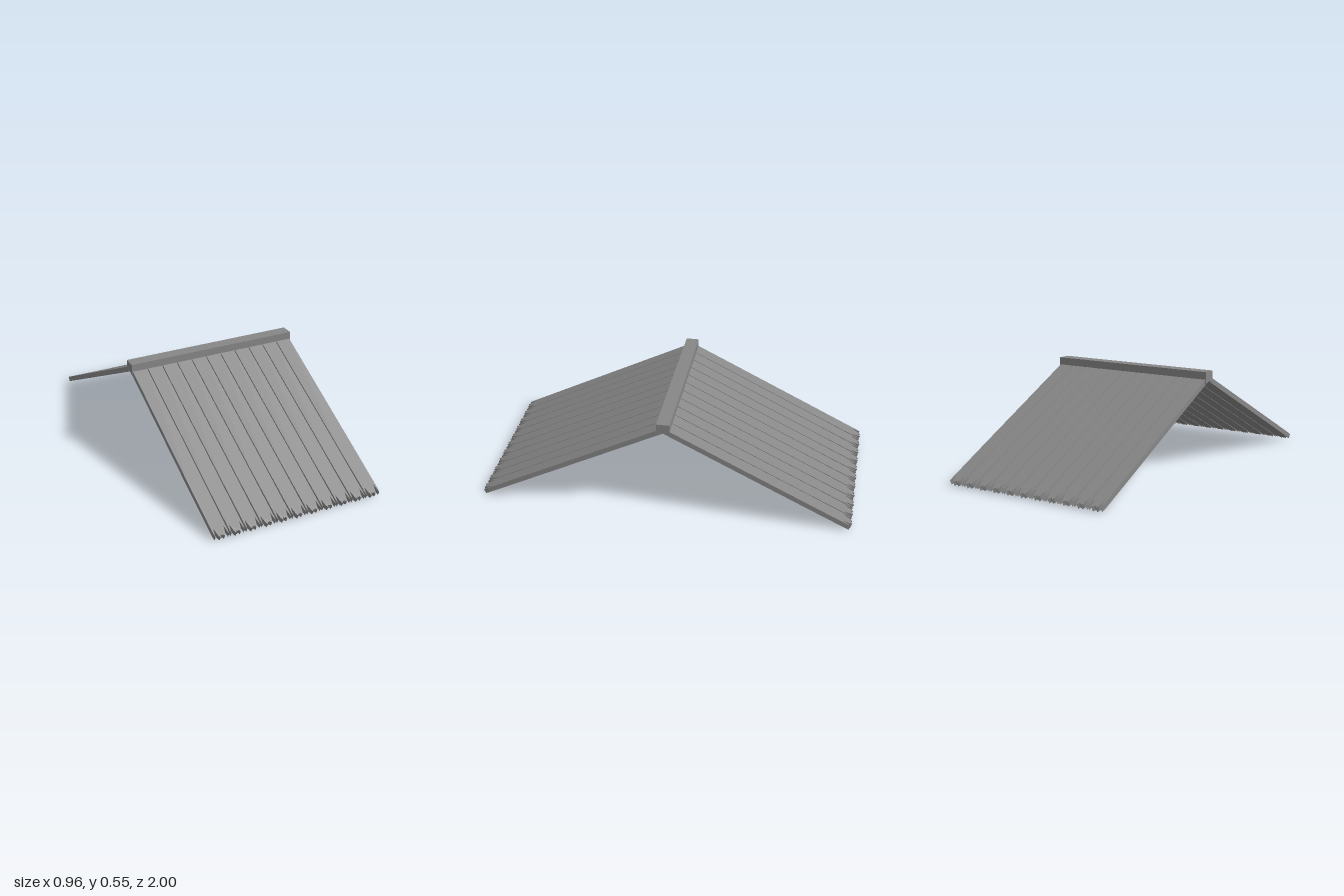
import * as THREE from 'three';

const COUNT = 11, PITCH = 0.087, WIDTH = 0.082, LENGTH = 1.104, THICK = 0.027;
const SLOPE = Math.atan(0.498);

export function createModel() {
  const model = new THREE.Group();
  model.name = 'plankRoof';
  const material = new THREE.MeshStandardMaterial({ color: 0x878787 });

  // Plank outline with a splintered lower end: [across 0..1, distance cut back]
  const jags = [[0, 0.3], [0.02, 0.03], [0.05, 0.006], [0.16, 0.056], [0.27, 0.012], [0.36, 0], [0.43, 0.014],
    [0.5, 0.008], [0.57, 0.014], [0.65, 0.002], [0.73, 0.012], [0.85, 0.058], [0.95, 0.006], [0.99, 0.03], [1, 0.3]];
  const outline = new THREE.Shape();
  outline.moveTo(WIDTH / 2, 0);
  outline.lineTo(-WIDTH / 2, 0);
  jags.forEach(([u, cut]) => outline.lineTo((u - 0.5) * WIDTH, LENGTH - cut));
  outline.closePath();
  // Extruded inward, so the outline lies on the outer roof surface
  const plankGeometry = new THREE.ExtrudeGeometry(outline, { depth: THICK, bevelEnabled: false });

  // Two mirrored roof slopes of planks
  ['frontSlope', 'backSlope'].forEach((name, side) => {
    const slope = new THREE.Group();
    slope.name = name;
    for (let i = 0; i < COUNT; i++) {
      const plank = new THREE.Mesh(plankGeometry, material);
      plank.name = 'plank';
      plank.position.set((i - (COUNT - 1) / 2) * PITCH, 0.516, 0.012);
      plank.rotation.x = Math.PI / 2 + SLOPE;
      slope.add(plank);
    }
    slope.rotation.y = side * Math.PI;
    model.add(slope);
  });

  // Ridge cap, its underside following the two slopes
  const profile = new THREE.Shape();
  [[-0.035, 0.545], [-0.035, 0.478], [0, 0.495], [0.035, 0.478], [0.035, 0.545]]
    .forEach(([z, y], i) => (i ? profile.lineTo(z, y) : profile.moveTo(z, y)));
  profile.closePath();
  const ridgeGeometry = new THREE.ExtrudeGeometry(profile, { depth: 0.96, bevelEnabled: false });
  ridgeGeometry.translate(0, 0, -0.48).rotateY(Math.PI / 2);
  const ridge = new THREE.Mesh(ridgeGeometry, material);
  ridge.name = 'ridgeCap';
  model.add(ridge);

  return model;
}
